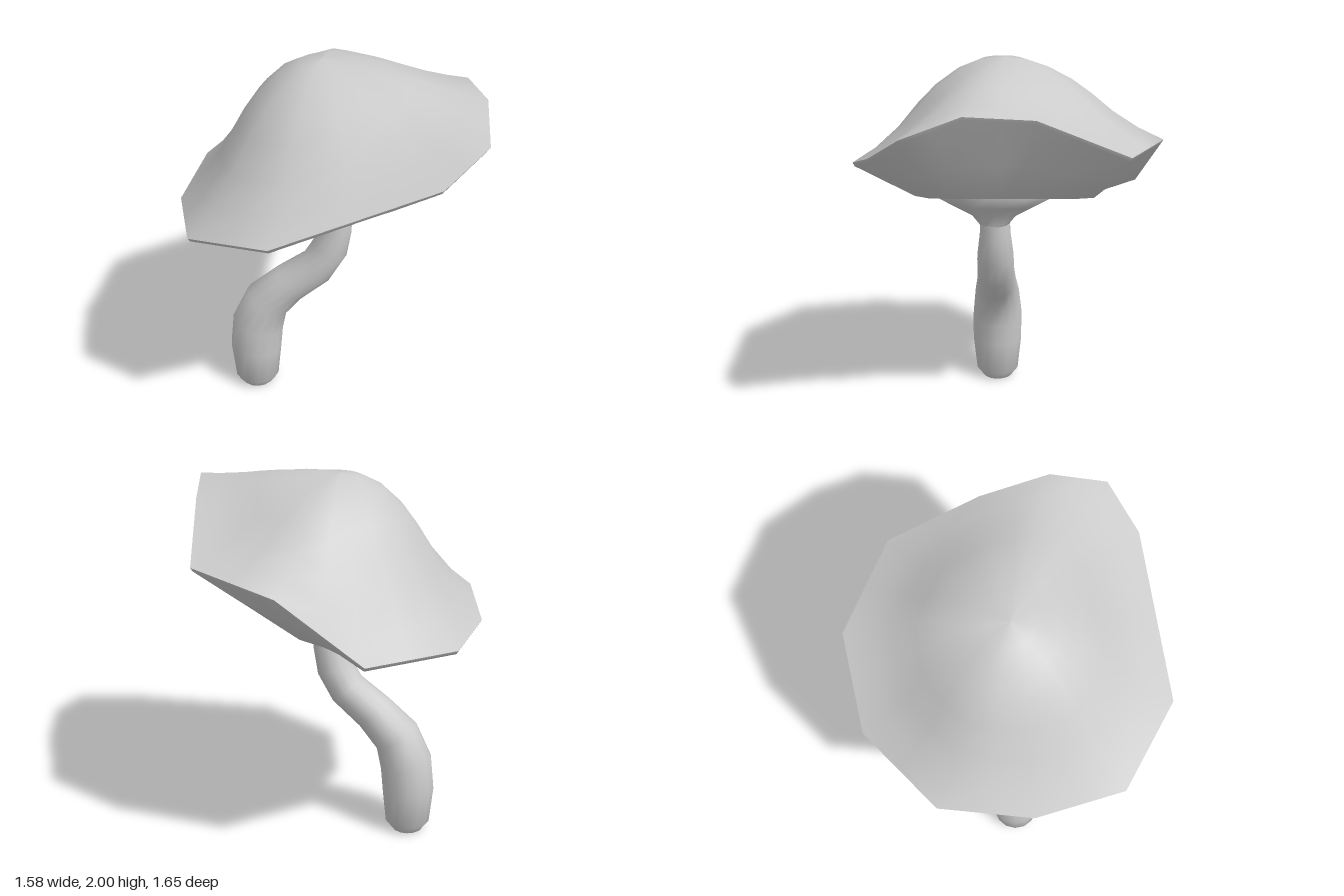
import * as THREE from 'three';
import { toCreasedNormals } from 'three/addons/utils/BufferGeometryUtils.js';

// Skin closed rings of points, listed bottom to top and running counterclockwise seen from below
function loft(rings) {
  const n = rings[0].length, index = [];
  for (let r = 0; r < rings.length - 1; r++) {
    for (let i = 0; i < n; i++) {
      const a = r * n + i, b = r * n + (i + 1) % n;
      index.push(a, a + n, b, b, a + n, b + n);
    }
  }
  const geometry = new THREE.BufferGeometry().setFromPoints(rings.flat());
  geometry.setIndex(index);
  return geometry;
}

// Circle of points around a centre, facing along a direction in the xy plane
function circle(x, y, z, radius, angle, sides = 14) {
  return Array.from({ length: sides }, (_, i) => {
    const t = i / sides * Math.PI * 2, u = Math.cos(t) * radius;
    return new THREE.Vector3(x + u * Math.cos(angle), y + u * Math.sin(angle), z + Math.sin(t) * radius);
  });
}

// Wavy cap edge, as x, y, z corners
const corners = [
  [0.03, 1.59, -0.83], [0.52, 1.64, -0.63], [0.66, 1.86, -0.17], [0.765, 1.905, 0.17],
  [0.79, 1.80, 0.46], [0.59, 1.65, 0.63], [-0.21, 1.38, 0.82], [-0.65, 1.27, 0.59],
  [-0.79, 1.23, 0.14], [-0.755, 1.24, -0.35], [-0.38, 1.26, -0.74],
].map(p => new THREE.Vector3(...p));
// Add a midpoint to each edge
const rim = corners.flatMap((p, i) => [p, p.clone().lerp(corners[(i + 1) % corners.length], 0.5)]);

export function createModel() {
  const group = new THREE.Group();
  const material = new THREE.MeshStandardMaterial({ color: 0xcccccc, side: THREE.DoubleSide });
  const add = (name, geometry) => {
    const mesh = new THREE.Mesh(geometry, material);
    mesh.name = name;
    group.add(mesh);
  };

  // Cap top: a round dome easing out into the angular rim; pairs are [fraction out, height share]
  const apex = new THREE.Vector3(-0.06, 2, 0);
  const profile = [[1, 0], [0.85, 0.15], [0.7, 0.35], [0.57, 0.57], [0.45, 0.74], [0.3, 0.89], [0.15, 0.975], [0, 1]];
  const top = loft(profile.map(([f, h]) => rim.map(p => {
    const dx = p.x - apex.x, dz = p.z - apex.z, length = Math.hypot(dx, dz);
    const reach = f * THREE.MathUtils.lerp(0.76, length, f) / length;
    return new THREE.Vector3(apex.x + dx * reach, p.y + (apex.y - p.y) * h, apex.z + dz * reach);
  })));
  top.computeVertexNormals();
  add('capTop', top);

  // Cap underside: a tilted shallow bowl below the rim
  const bowl = f => rim.map(p => new THREE.Vector3(p.x * f, 1.26 + 0.32 * p.x * f, p.z * f));
  const lip = rim.map(p => new THREE.Vector3(p.x * 0.985, p.y - 0.02, p.z * 0.985));
  const middle = bowl(0.58).map((p, i) => p.lerp(lip[i], 0.45));
  const under = loft([bowl(0), bowl(0.3), bowl(0.58), middle, lip, rim]);
  under.computeVertexNormals();
  add('capUnderside', under);

  // Bent stem, as x, y, radius along its path
  const path = [
    [-0.44, 0, 0.085], [-0.44, 0.05, 0.122], [-0.44, 0.25, 0.143], [-0.425, 0.4, 0.143],
    [-0.37, 0.55, 0.128], [-0.24, 0.68, 0.11], [-0.09, 0.8, 0.103], [-0.02, 0.92, 0.1],
    [0.015, 1.05, 0.085], [0.02, 1.13, 0.08],
  ];
  const stemRings = path.map(([x, y, r], i) => {
    const a = path[Math.max(i - 1, 0)], b = path[Math.min(i + 1, path.length - 1)];
    return circle(x, y, 0.04, r, Math.atan2(b[1] - a[1], b[0] - a[0]) - Math.PI / 2);
  });
  stemRings.unshift(circle(-0.44, 0, 0.04, 0.0001, 0));
  add('stem', toCreasedNormals(loft(stemRings), 0.8));

  // Tilted collar where the stem flares into the cap
  const collar = [[0.02, 1.12, 0.08], [0.01, 1.16, 0.12], [-0.02, 1.19, 0.2], [-0.07, 1.24, 0.33], [-0.08, 1.27, 0.28]];
  const collarGeometry = loft(collar.map(([x, y, r], i) => circle(x, y, 0.045, r, i ? 0.32 : 0.1, 10)));
  collarGeometry.computeVertexNormals();
  add('collar', collarGeometry);

  return group;
}
